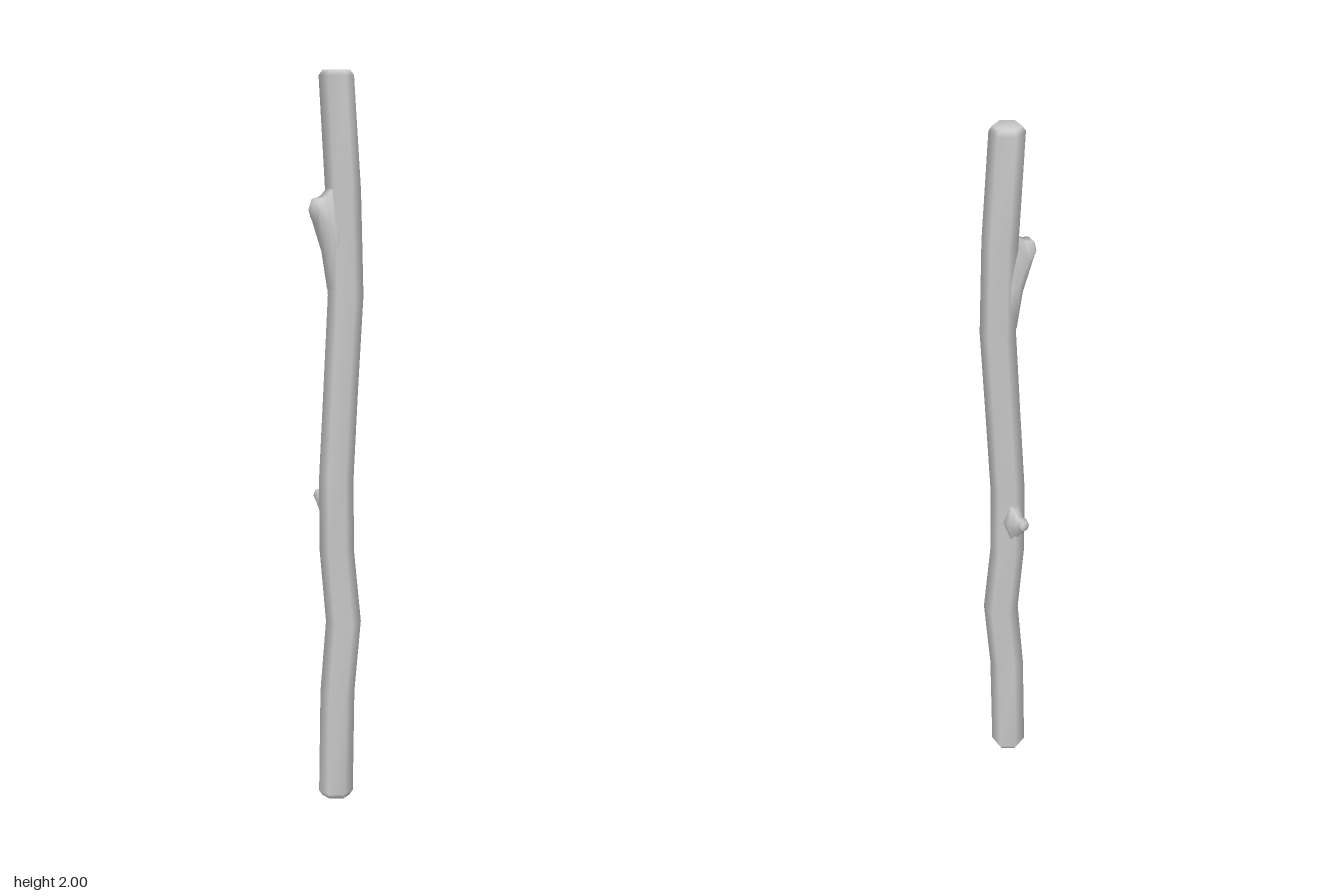
import * as THREE from 'three';

const SIDES = 6;

// Skin six-sided rings { c, u, v }; the rings advance along u x v. Both ends are closed.
function loft(name, rings) {
  const pos = [], index = [];
  rings.forEach(({ c, u, v }) => {
    for (let j = 0; j < SIDES; j++) {
      const a = (j / SIDES) * Math.PI * 2;
      const p = c.clone().addScaledVector(u, Math.cos(a)).addScaledVector(v, Math.sin(a));
      pos.push(p.x, p.y, p.z);
    }
  });
  const last = (rings.length - 1) * SIDES;
  const start = pos.length / 3, end = start + 1;
  pos.push(...rings[0].c.toArray(), ...rings[rings.length - 1].c.toArray());
  for (let j = 0; j < SIDES; j++) {
    const k = (j + 1) % SIDES;
    for (let i = 0; i < last; i += SIDES) {
      index.push(i + j, i + k, i + SIDES + k, i + j, i + SIDES + k, i + SIDES + j);
    }
    index.push(start, k, j, end, last + j, last + k);
  }
  const geo = new THREE.BufferGeometry();
  geo.setAttribute('position', new THREE.Float32BufferAttribute(pos, 3));
  geo.setIndex(index);
  geo.computeVertexNormals();
  const mesh = new THREE.Mesh(geo, new THREE.MeshStandardMaterial({ color: 0xcccccc }));
  mesh.name = name;
  return mesh;
}

// Cut twig: each row is [distance out, bottom y, top y, half width]
function twig(name, dir, side, rows) {
  const up = new THREE.Vector3(0, 1, 0);
  const across = up.clone().cross(dir);
  return loft(name, rows.map(([out, low, high, half]) => ({
    c: side.clone().addScaledVector(dir, out).setY((low + high) / 2),
    u: across.clone().multiplyScalar(half),
    v: up.clone().multiplyScalar((high - low) / 2 / Math.sin(Math.PI / 3)),
  })));
}

export function createModel() {
  const group = new THREE.Group();
  group.name = 'woodenStick';

  // Gently bent shaft with bevelled ends: [y, x, z, radius]
  const shaft = [
    [0, 0.004, 0.02, 0.037], [0.014, 0.004, 0.02, 0.047], [0.3, 0.008, 0.021, 0.047],
    [0.5, 0.021, 0.031, 0.048], [0.7, 0.005, 0.022, 0.047], [0.9, 0.004, 0.021, 0.047],
    [1.15, 0.017, 0.023, 0.047], [1.4, 0.027, 0.031, 0.048], [1.68, 0.023, 0.024, 0.048],
    [1.986, 0.004, 0.02, 0.047], [2, 0.004, 0.02, 0.037],
  ];
  group.add(loft('shaft', shaft.map(([y, x, z, r]) => ({
    c: new THREE.Vector3(x, y, z),
    u: new THREE.Vector3(0, 0, r),
    v: new THREE.Vector3(r, 0, 0),
  }))));

  // Thick upper stub on the right, flowing up out of the shaft
  group.add(twig('upperTwig', new THREE.Vector3(-1, 0, 0), new THREE.Vector3(0, 0, 0.022), [
    [-0.012, 1.37, 1.71, 0.037], [0.016, 1.42, 1.69, 0.034], [0.035, 1.52, 1.672, 0.029],
    [0.046, 1.55, 1.665, 0.028], [0.066, 1.605, 1.662, 0.025], [0.074, 1.615, 1.65, 0.016],
  ]));

  // Thin lower stub at the back
  group.add(twig('lowerTwig', new THREE.Vector3(0, 0, -1), new THREE.Vector3(0.004, 0, 0), [
    [0, 0.73, 0.895, 0.034], [0.024, 0.77, 0.867, 0.022], [0.05, 0.793, 0.848, 0.016],
    [0.07, 0.818, 0.855, 0.015], [0.079, 0.824, 0.85, 0.012],
  ]));

  return group;
}
